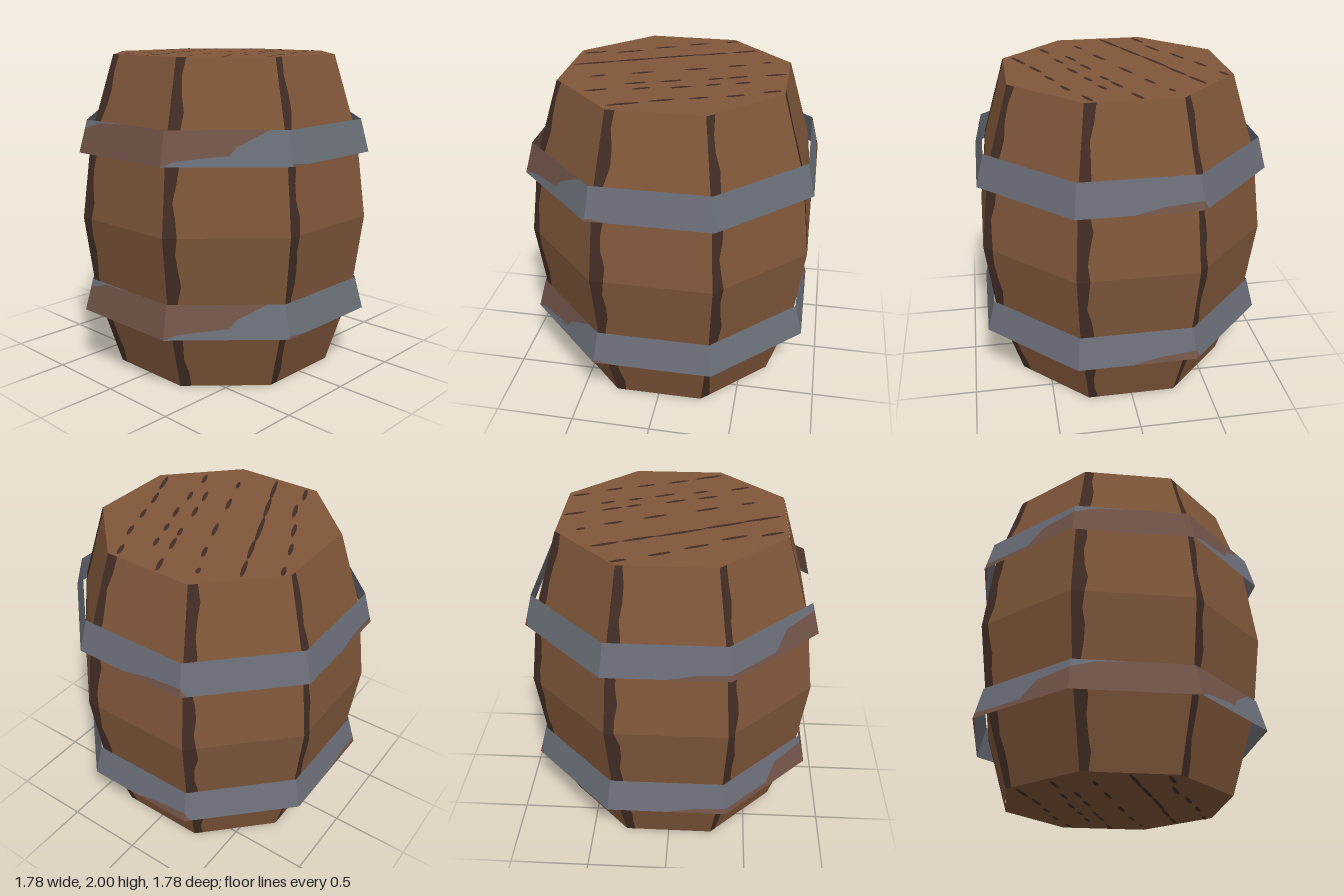
import * as THREE from 'three';

const SIDES = 8;
const mat = (name, color, side = THREE.FrontSide) => {
  const m = new THREE.MeshStandardMaterial({ color, side });
  m.name = name;
  return m;
};

// Apothem of the barrel at height y: steep ends, gentle middle
const PROFILE = [[0, 0.675], [0.5, 0.82], [1, 0.88], [1.5, 0.82], [2, 0.675]];
function barrelRadius(y) {
  const i = Math.min(3, Math.floor(y / 0.5));
  return THREE.MathUtils.lerp(PROFILE[i][1], PROFILE[i + 1][1], (y - i * 0.5) / 0.5);
}

// Corner k of the octagon; face k runs from corner k to k + 1, face 0 is the front
function corner(k, apothem, y) {
  const a = (k - 0.5) * Math.PI * 2 / SIDES, r = apothem / Math.cos(Math.PI / SIDES);
  return new THREE.Vector3(Math.sin(a) * r, y, Math.cos(a) * r);
}
// Point at u around the octagon (whole numbers are corners)
function onWall(u, apothem, y) {
  const k = Math.floor(u);
  return corner(k, apothem, y).lerp(corner(k + 1, apothem, y), u - k);
}

// Collects flat quads into one geometry; corners run counter-clockwise from outside
function quadMesh(name, quads, material) {
  const pos = [];
  for (const [a, b, c, d] of quads) for (const p of [a, b, c, a, c, d]) pos.push(p.x, p.y, p.z);
  const g = new THREE.BufferGeometry();
  g.setAttribute('position', new THREE.Float32BufferAttribute(pos, 3));
  g.computeVertexNormals();
  const mesh = new THREE.Mesh(g, material);
  mesh.name = name;
  return mesh;
}

// Staves with an uneven dark gap along the left edge of each
function makeStaves(wood, dark) {
  const group = new THREE.Group();
  group.name = 'staves';
  const rows = 20;
  for (let k = 0; k < SIDES; k++) {
    const gaps = [], boards = [];
    const edge = i => 0.1 + 0.018 * Math.sin(i * 1.9 + k) + 0.012 * Math.sin(i * 0.8 + k * 2);
    for (let i = 0; i < rows; i++) {
      const y0 = i * 2 / rows, y1 = (i + 1) * 2 / rows;
      const at = (t, y) => onWall(k, barrelRadius(y), y).lerp(corner(k + 1, barrelRadius(y), y), t);
      gaps.push([at(0, y0), at(edge(i), y0), at(edge(i + 1), y1), at(0, y1)]);
      boards.push([at(edge(i), y0), at(1, y0), at(1, y1), at(edge(i + 1), y1)]);
    }
    group.add(quadMesh('staveGap', gaps, dark), quadMesh('stave', boards, wood));
  }
  return group;
}

// Rust on a hoop: [position around, lower edge, upper edge] with edges from 0 to 1
const RUST = [
  [0, 0, 0.08], [0.2, 0, 0], [1, 0, 0], [2, 0, 0], [2.45, 0, 0], [2.7, 0, 0.18], [3, 0, 0.26], [3.05, 0, 0],
  [4, 0, 0], [4.5, 0, 0], [4.75, 0, 0.15], [5, 0, 0.18], [5.5, 0, 0.15], [5.65, 0, 0.65],
  [6, 0, 0.75], [6.2, 0, 0.95], [6.5, 0, 1], [7, 0, 1], [7.1, 0.15, 1], [7.4, 0.27, 1],
  [7.52, 0.3, 1], [7.58, 0.55, 1], [7.85, 1, 1], [8, 1, 1],
];

// Thin flared hoop standing clear of the staves
function makeHoop(name, y, iron, rust) {
  const group = new THREE.Group();
  group.name = name;
  const at = (u, v) => {
    const r = 0.89 - 0.05 * v, h = y + 0.2 * v;
    return onWall(u, r, h);
  };
  const ironQuads = [], rustQuads = [];
  const add = (list, a, b, a0, a1, b0, b1) => {
    if (a1 - a0 > 0.001 || b1 - b0 > 0.001) list.push([at(a, a0), at(b, b0), at(b, b1), at(a, a1)]);
  };
  for (let i = 0; i < RUST.length - 1; i++) {
    const [a, a0, a1] = RUST[i], [b, b0, b1] = RUST[i + 1];
    add(ironQuads, a, b, 0, a0, 0, b0);
    add(rustQuads, a, b, a0, a1, b0, b1);
    add(ironQuads, a, b, a1, 1, b1, 1);
  }
  group.add(quadMesh('hoopIron', ironQuads, iron), quadMesh('hoopRust', rustQuads, rust));
  return group;
}

// Grain streaks on the barrel ends: x, z, half length
const GRAIN = [
  [-0.58, -0.25, 0.08], [-0.36, -0.31, 0.09], [-0.15, -0.43, 0.08], [0.05, -0.53, 0.07], [0.27, -0.62, 0.05],
  [-0.53, -0.05, 0.14], [-0.3, -0.15, 0.14], [-0.05, -0.26, 0.16], [0.18, -0.35, 0.11], [0.37, -0.43, 0.09],
  [-0.45, 0.17, 0.05], [-0.2, 0.07, 0.08], [0.11, -0.05, 0.08], [0.35, -0.15, 0.06], [0.53, -0.24, 0.03],
  [-0.2, 0.25, 0.07], [0, 0.18, 0.07], [0.25, 0.1, 0.05], [0.38, 0.05, 0.07], [0.6, -0.03, 0.07],
  [-0.4, 0.4, 0.07], [-0.15, 0.33, 0.06], [0.07, 0.27, 0.07], [0.25, 0.2, 0.05], [0.42, 0.14, 0.05],
  [-0.2, 0.58, 0.1], [0, 0.49, 0.08], [0.2, 0.42, 0.06], [0.4, 0.35, 0.06], [0.6, 0.25, 0.06],
];

function makeEnd(name, wood, dark) {
  const group = new THREE.Group();
  group.name = name;
  const board = new THREE.Mesh(
    new THREE.CircleGeometry(0.675 / Math.cos(Math.PI / SIDES), SIDES, Math.PI / SIDES), wood);
  board.name = 'endBoard';
  group.add(board);
  for (const [x, z, half] of GRAIN) {
    const streak = new THREE.Mesh(new THREE.CircleGeometry(1, 8), dark);
    streak.name = 'grainStreak';
    streak.scale.set(half, 0.014, 1);
    streak.rotation.z = 0.4;
    streak.position.set(x, -z, 0.003);
    group.add(streak);
  }
  return group;
}

export function createModel() {
  const wood = mat('wood', 0x80573a);
  const dark = mat('darkWood', 0x422d25);
  const iron = mat('iron', 0x6a6e77, THREE.DoubleSide);
  const rust = mat('rust', 0x715449, THREE.DoubleSide);

  const barrel = new THREE.Group();
  barrel.name = 'barrel';
  barrel.add(makeStaves(wood, dark));
  barrel.add(makeHoop('lowerHoop', 0.39, iron, rust), makeHoop('upperHoop', 1.41, iron, rust));

  const lid = makeEnd('lid', wood, dark);
  lid.rotation.x = -Math.PI / 2;
  lid.position.y = 1.997;
  const base = makeEnd('base', wood, dark);
  base.rotation.x = Math.PI / 2;
  base.position.y = 0.003;
  barrel.add(lid, base);
  return barrel;
}
